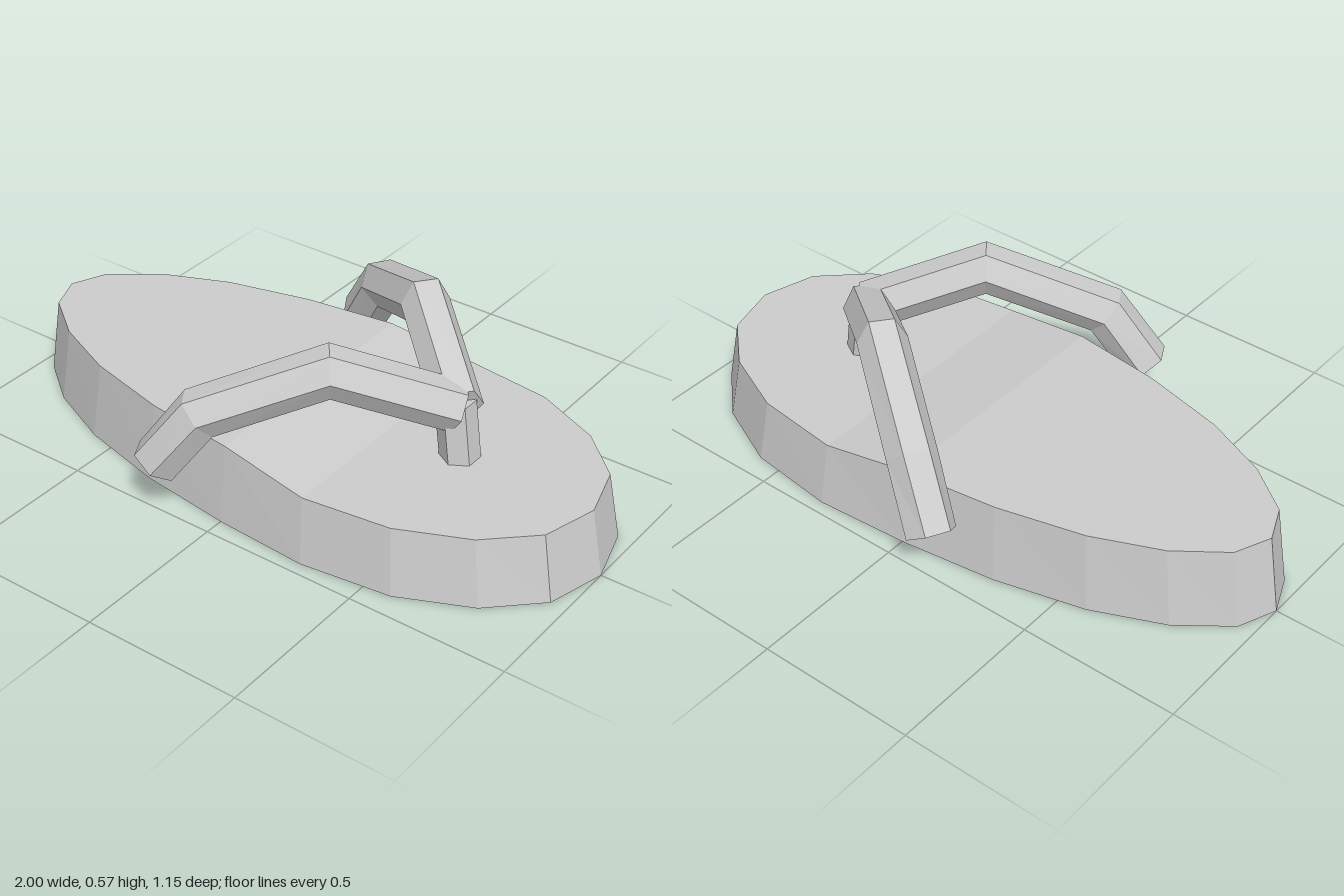
import * as THREE from 'three';

const V = (x, y, z) => new THREE.Vector3(x, y, z);

// Joins equal rings of points (clockwise about the travel direction) into a closed, faceted solid.
function loft(rings) {
  const pos = [];
  const tri = (...pts) => pts.forEach((p) => pos.push(p.x, p.y, p.z));
  const quad = (a, b, c, d) => {
    if (a !== b) tri(a, b, c);
    if (c !== d) tri(a, c, d);
  };
  const n = rings[0].length;
  const first = rings[0];
  const last = rings[rings.length - 1];
  for (let i = 0; i < rings.length - 1; i++) {
    for (let j = 0; j < n; j++) {
      const k = (j + 1) % n;
      quad(rings[i][j], rings[i + 1][j], rings[i + 1][k], rings[i][k]);
    }
  }
  // Caps are strips across the ring, so they may bend along its length.
  for (let k = 0; k < n / 2; k++) {
    const a = k, b = (n - k) % n, c = n - k - 1, d = k + 1;
    quad(last[a], last[b], last[c], last[d]);
    quad(first[d], first[c], first[b], first[a]);
  }
  const geo = new THREE.BufferGeometry();
  geo.setAttribute('position', new THREE.Float32BufferAttribute(pos, 3));
  geo.computeVertexNormals();
  return geo;
}

// Hexagonal bar along a path, flat side up, mitred at each bend.
function hexBar(path, r) {
  const up = V(0, 1, 0);
  const rings = path.map((p, i) => {
    const before = p.clone().sub(path[Math.max(i - 1, 0)]).normalize();
    const after = path[Math.min(i + 1, path.length - 1)].clone().sub(p).normalize();
    const t = before.clone().add(after).normalize();
    const mitre = 1 / Math.max(t.dot(before), t.dot(after));
    const side = t.clone().cross(up).normalize();
    const lift = side.clone().cross(t).multiplyScalar(mitre);
    return Array.from({ length: 6 }, (_, k) => {
      const a = (k * Math.PI) / 3;
      return p.clone().addScaledVector(side, r * Math.cos(a)).addScaledVector(lift, r * Math.sin(a));
    });
  });
  return loft(rings);
}

export function createModel() {
  const model = new THREE.Group();
  model.name = 'sandal';
  const grey = new THREE.MeshStandardMaterial({ color: 0xcccccc, flatShading: true });
  grey.name = 'lightGrey';
  const add = (name, geo) => {
    const mesh = new THREE.Mesh(geo, grey);
    mesh.name = name;
    model.add(mesh);
    return mesh;
  };

  // Sole: half outline mirrored, tapering upward, thicker under the heel
  const half = [
    [-1, 0], [-0.95, 0.12], [-0.8, 0.235], [-0.585, 0.33], [-0.305, 0.4], [0, 0.44],
    [0.3, 0.46], [0.585, 0.425], [0.805, 0.325], [0.95, 0.185], [1, 0],
  ];
  const outline = [
    ...half.map(([x, z]) => [x, -z]),
    ...half.slice(1, -1).reverse(),
  ];
  const topY = (x) => THREE.MathUtils.lerp(0.25, 0.207, THREE.MathUtils.clamp(x / 0.288, 0, 1));
  add('sole', loft([
    outline.map(([x, z]) => V(x, 0, z)),
    outline.map(([x, z]) => V(x * 0.96, topY(x * 0.96), z * 0.94)),
  ]));

  // Toe post: hexagonal, leaning slightly back, sunk a little into the sole
  const post = new THREE.CylinderGeometry(0.06, 0.06, 0.21, 6);
  post.translate(0.513, 0.285, 0);
  const p = post.attributes.position;
  for (let i = 0; i < p.count; i++) p.setX(i, p.getX(i) - (p.getY(i) - 0.285) * 0.13);
  add('toePost', post);

  // Straps: mirrored pair arching from the toe post down past the sides
  for (const [name, s] of [['leftStrap', 1], ['rightStrap', -1]]) {
    add(name, hexBar([
      V(0.51, 0.367, 0),
      V(0.235, 0.5, s * 0.235),
      V(-0.06, 0.357, s * 0.45),
      V(-0.175, 0.18, s * 0.51),
    ], 0.075));
  }
  return model;
}
